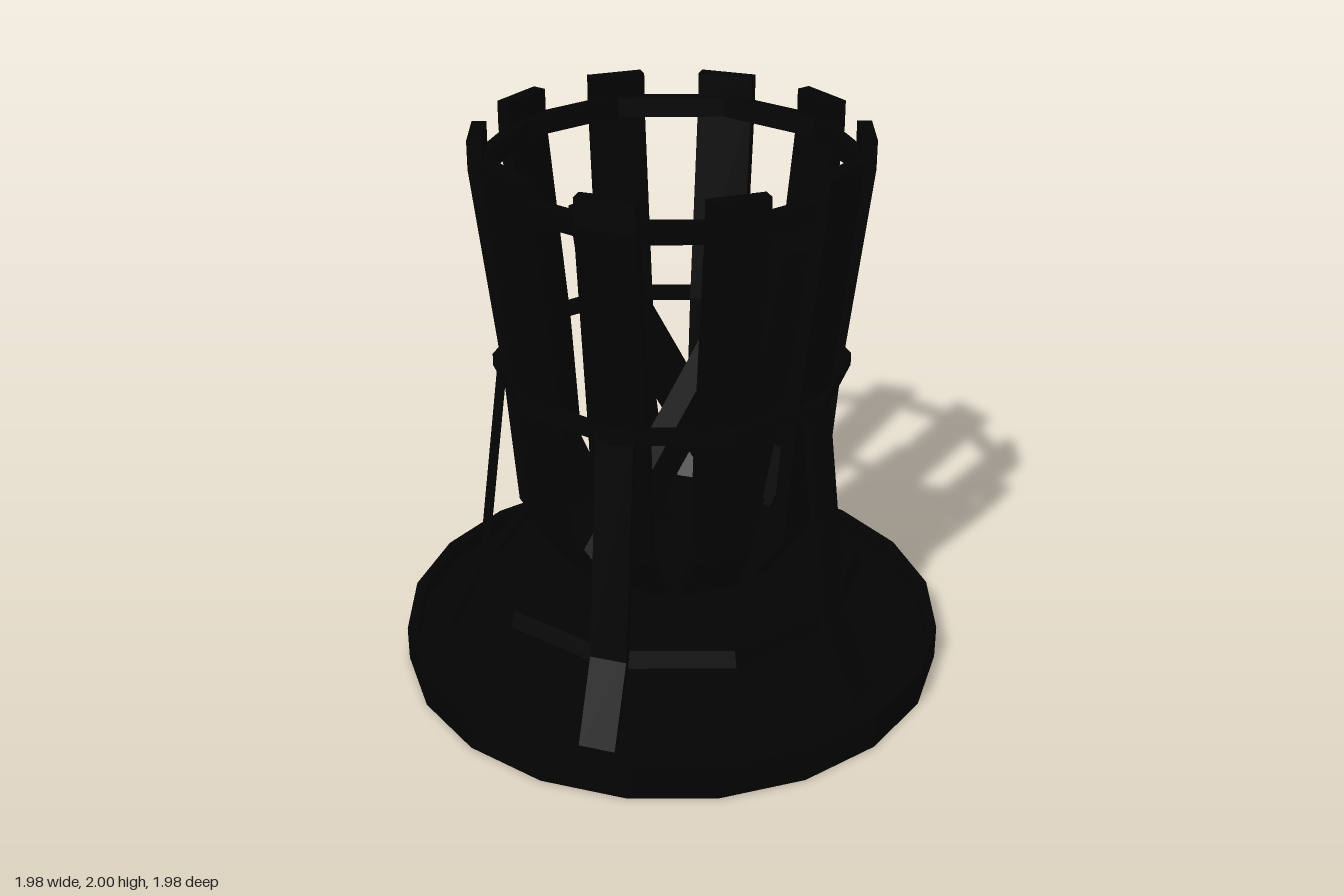
import * as THREE from 'three';

const material = new THREE.MeshStandardMaterial({ color: 0x030303, flatShading: true });
const DEG = Math.PI / 180;
const START = -9 * DEG; // angle of the first slat, measured from +z towards +x

export function createModel() {
  const group = new THREE.Group();

  const add = (name, geometry) => {
    const mesh = new THREE.Mesh(geometry, material);
    mesh.name = name;
    group.add(mesh);
    return mesh;
  };

  const lathe = (name, points, sides, turn = 0) => {
    const mesh = add(name, new THREE.LatheGeometry(points.map(p => new THREE.Vector2(...p)), sides));
    mesh.rotation.y = turn;
  };

  // ten-sided hoop: bottom and top outer radius, thickness, bottom and top height
  const hoop = (name, r0, r1, t, y0, y1) =>
    lathe(name, [[r0 - t, y0], [r0, y0], [r1, y1], [r1 - t, y1], [r0 - t, y0]], 10, START);

  // flat bar bent along a path of [radius, height] points
  const bar = (name, path, thickness, width, angle) => {
    const inner = path.map(([r, y]) => [r - thickness, y]).reverse();
    const shape = new THREE.Shape([...path, ...inner].map(p => new THREE.Vector2(...p)));
    const geometry = new THREE.ExtrudeGeometry(shape, { depth: width, bevelEnabled: false });
    geometry.translate(0, 0, -width / 2);
    add(name, geometry).rotation.y = angle - Math.PI / 2;
  };

  // round tray with an upright rim
  lathe('base', [[0, 0], [0.988, 0], [0.988, 0.13], [0.95, 0.13], [0.95, 0.07], [0, 0.07]], 20);

  // basket slats
  const slatPath = [[0.415, 0.45], [0.547, 0.65], [0.586, 1.15], [0.674, 1.9], [0.674, 2]];
  for (let i = 0; i < 10; i++) bar('slat', slatPath, 0.05, 0.2, START + i * 36 * DEG);

  // bent legs, one on every second slat
  const legPath = [[0.845, 0.06], [0.71, 0.35], [0.61, 1.16]];
  for (let i = 0; i < 5; i++) bar('leg', legPath, 0.03, 0.13, START + i * 72 * DEG);

  // hoops and basket floor
  hoop('topHoop', 0.66, 0.665, 0.045, 1.85, 1.92);
  hoop('middleHoop', 0.63, 0.63, 0.045, 1.135, 1.18);
  hoop('legHoop', 0.705, 0.685, 0.035, 0.31, 0.37);
  lathe('basketFloor', [[0, 0.43], [0.42, 0.43], [0.42, 0.47], [0, 0.47]], 10, START);

  // firewood leaning in the basket: bottom, top, radius
  const logs = [
    [[-0.2, 0.5, 0.34], [0.36, 1.52, -0.4], 0.09],
    [[-0.1, 0.47, -0.03], [-0.29, 1.64, -0.25], 0.12],
    [[0.22, 0.45, 0.07], [0.4, 1.66, 0.08], 0.1],
    [[0.25, 0.47, -0.22], [-0.18, 1.36, -0.05], 0.09],
  ];
  const up = new THREE.Vector3(0, 1, 0);
  for (const [from, to, radius] of logs) {
    const a = new THREE.Vector3(...from), b = new THREE.Vector3(...to);
    const axis = b.clone().sub(a);
    const log = add('log', new THREE.CylinderGeometry(radius, radius * 0.9, axis.length(), 5));
    log.position.copy(a).add(b).multiplyScalar(0.5);
    log.quaternion.setFromUnitVectors(up, axis.normalize());
  }

  return group;
}
